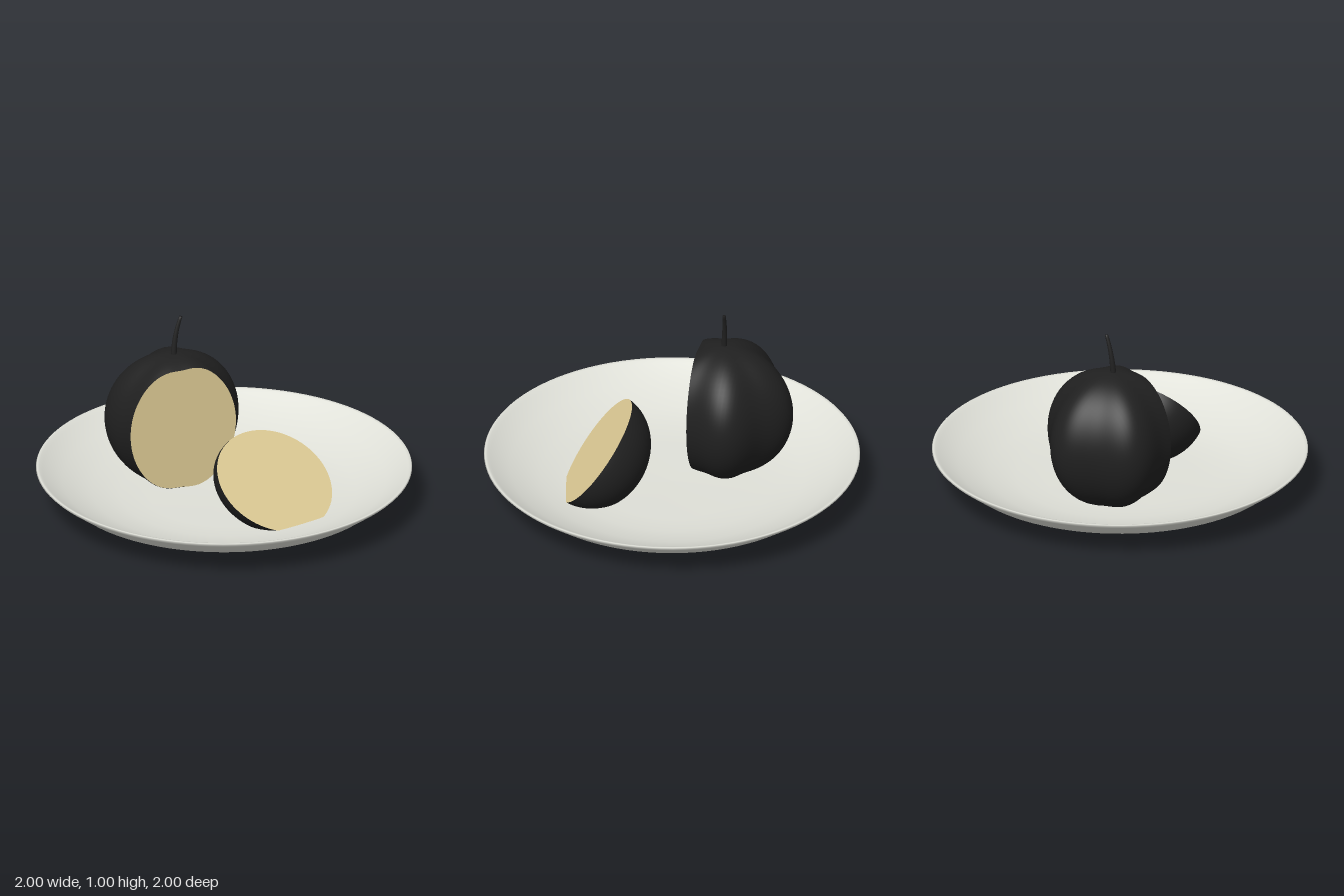
import * as THREE from 'three';
import { mergeVertices } from 'three/addons/utils/BufferGeometryUtils.js';

const V = (x, y, z) => new THREE.Vector3(x, y, z);

// Remaps every vertex by a rule and rebuilds smooth normals
function remap(geometry, rule) {
  geometry.deleteAttribute('uv');
  geometry.deleteAttribute('normal');
  const g = mergeVertices(geometry, 1e-5);
  const pos = g.attributes.position;
  for (let i = 0; i < pos.count; i++) {
    const p = rule(V().fromBufferAttribute(pos, i));
    pos.setXYZ(i, p.x, p.y, p.z);
  }
  g.computeVertexNormals();
  return g;
}

export function createModel() {
  const skin = new THREE.MeshStandardMaterial({ color: 0x202020 });
  skin.name = 'blackSkin';
  const flesh = new THREE.MeshStandardMaterial({ color: 0xe0cd96 });
  flesh.name = 'creamFlesh';
  const glaze = new THREE.MeshStandardMaterial({ color: 0xdfe0d8 });
  glaze.name = 'plateGlaze';

  const model = new THREE.Group();
  const add = (parent, name, geometry, material) => {
    const mesh = new THREE.Mesh(geometry, material);
    mesh.name = name;
    parent.add(mesh);
  };

  // A skin dome (unit hemisphere remapped) closed by a flat cut face
  const cutFruit = (name, rule) => {
    const group = new THREE.Group();
    group.name = name;
    add(group, name + 'Skin',
      remap(new THREE.SphereGeometry(1, 80, 32, 0, Math.PI * 2, 0, Math.PI / 2), rule), skin);
    add(group, name + 'CutFace',
      remap(new THREE.CircleGeometry(1, 80).rotateX(Math.PI / 2), rule), flesh);
    model.add(group);
    return group;
  };

  // Plate: shallow dish turned from one closed profile
  const plateProfile = [
    [0, 0], [0.4, 0.003], [0.56, 0.015], [0.71, 0.038], [0.87, 0.1], [0.985, 0.185], [1, 0.2],
    [0.995, 0.207], [0.98, 0.205], [0.965, 0.19], [0.86, 0.128], [0.7, 0.068], [0.55, 0.045],
    [0.4, 0.035], [0, 0.03],
  ].map(([r, y]) => new THREE.Vector2(r, y));
  add(model, 'plate', new THREE.LatheGeometry(plateProfile, 96), glaze);

  // Large fruit: five soft lobes, cut by a vertical plane
  const centre = V(-0.25, 0.41, -0.18);
  const inside = (p) => {
    const dx = p.x - centre.x, dz = p.z - centre.z;
    const lobe = Math.cos(5 * (Math.atan2(dz, dx) + 1.78));
    const r = Math.hypot(dx, dz) / (0.35 + 0.025 * lobe);
    return r * r + ((p.y - centre.y) / 0.38) ** 2 < 1;
  };
  const normal = V(0.293, 0, 0.956).normalize();
  const origin = centre.clone().addScaledVector(normal, 0.144);
  const frame = new THREE.Matrix4().makeBasis(
    V(normal.z, 0, -normal.x), normal.clone().negate(), V(0, 1, 0));
  const wholeFruit = cutFruit('fruit', (d) => {
    if (d.length() < 0.5) return origin.clone();
    const dir = d.applyMatrix4(frame);
    let near = 0, far = 1;
    for (let i = 0; i < 24; i++) {
      const mid = (near + far) / 2;
      if (inside(origin.clone().addScaledVector(dir, mid))) near = mid; else far = mid;
    }
    return origin.clone().addScaledVector(dir, near);
  });

  // Stem: tapered and bent along a curve
  const stemPath = new THREE.QuadraticBezierCurve3(
    V(-0.257, 0.77, -0.172), V(-0.255, 0.9, -0.18), V(-0.218, 0.995, -0.194));
  add(wholeFruit, 'stem', remap(new THREE.CylinderGeometry(0.009, 0.016, 1, 12, 12), (p) => {
    const c = stemPath.getPoint(THREE.MathUtils.clamp(p.y + 0.5, 0, 1));
    return V(c.x + p.x, c.y - p.x * 0.25, c.z + p.z);
  }), skin);

  // Sliced piece leaning on the plate, cut face turned up to the front
  const piece = new THREE.Matrix4().makeBasis(
    V(0.3, -0.045, -0.115), V(-0.36, -0.62, -0.69).multiplyScalar(0.28), V(-0.08, 0.225, -0.16));
  piece.setPosition(0.25, 0.255, 0.315);
  cutFruit('slicedPiece', (d) => {
    const p = d.applyMatrix4(piece);
    p.y = Math.max(p.y, 0.02);
    return p;
  });

  return model;
}
